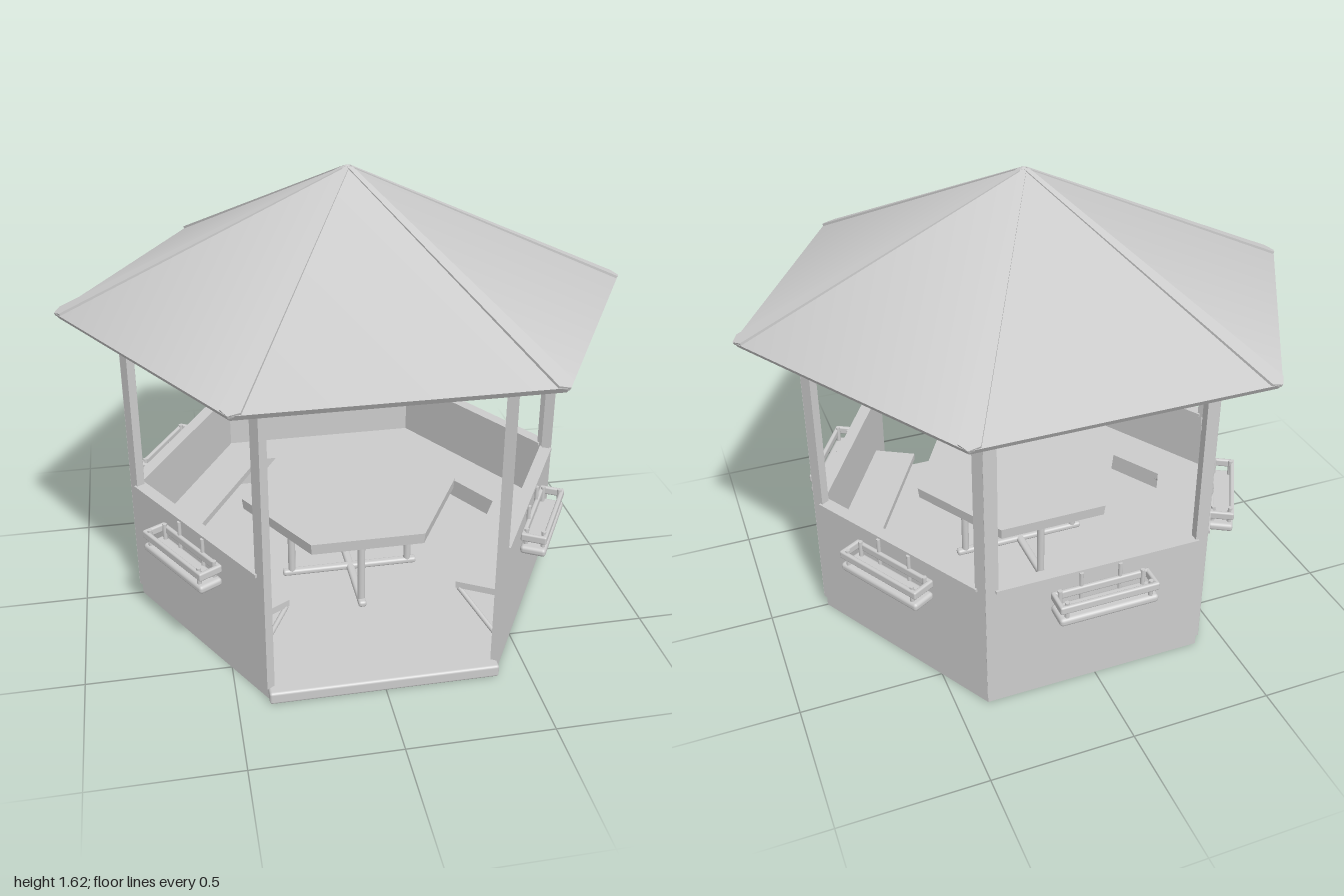
import * as THREE from 'three';
import { RoundedBoxGeometry } from 'three/addons/geometries/RoundedBoxGeometry.js';

const flat = new THREE.MeshStandardMaterial({ color: 0xcccccc, flatShading: true, side: THREE.DoubleSide });
const smooth = new THREE.MeshStandardMaterial({ color: 0xcccccc });

function add(parent, name, geometry, material = flat, x = 0, y = 0, z = 0) {
  const mesh = new THREE.Mesh(geometry, material);
  mesh.name = name;
  mesh.position.set(x, y, z);
  parent.add(mesh);
  return mesh;
}
const rounded = (p, name, w, h, d, x, y, z, r = 0.4) =>
  add(p, name, new RoundedBoxGeometry(w, h, d, 2, Math.min(w, h, d) * r), smooth, x, y, z);

// Round bar between two points
function bar(p, name, a, b, r) {
  const from = new THREE.Vector3(...a), to = new THREE.Vector3(...b);
  const mesh = add(p, name, new THREE.CylinderGeometry(r, r, from.distanceTo(to), 12), smooth);
  mesh.position.copy(from).lerp(to, 0.5);
  mesh.quaternion.setFromUnitVectors(new THREE.Vector3(0, 1, 0), to.sub(from).normalize());
}

// Six-sided slab with corners on the x axis
const hexagon = (top, bottom, h, open = false) =>
  new THREE.CylinderGeometry(top, bottom, h, 6, 1, open).rotateY(Math.PI / 6);

// Flat outline lifted into a slab, depth running along +z
function slab(points, depth, hole) {
  const shape = new THREE.Shape(points.map(q => new THREE.Vector2(...q)));
  if (hole) shape.holes.push(new THREE.Path(hole.map(q => new THREE.Vector2(...q))));
  return new THREE.ExtrudeGeometry(shape, { depth, bevelEnabled: false });
}
const rect = (x0, y0, x1, y1) => [[x0, y0], [x1, y0], [x1, y1], [x0, y1]];

// Open flower box hanging on the outside of a wall
function makePlanter() {
  const g = new THREE.Group();
  g.name = 'planter';
  rounded(g, 'planterTray', 0.355, 0.03, 0.09, 0, 0.36, 0.742);
  for (const z of [0.705, 0.779]) rounded(g, 'planterLongRail', 0.355, 0.03, 0.016, 0, 0.412, z);
  for (const s of [-1, 1]) {
    rounded(g, 'planterEndRail', 0.016, 0.03, 0.09, s * 0.1695, 0.412, 0.742);
    for (const z of [0.712, 0.772]) bar(g, 'planterPost', [s * 0.15, 0.36, z], [s * 0.15, 0.435, z], 0.008);
    bar(g, 'planterHanger', [s * 0.07, 0.36, 0.702], [s * 0.07, 0.478, 0.702], 0.007);
  }
  return g;
}

// Wall bay with window, sill, planter and bench; local +z points outward
function makeBay(k) {
  const g = new THREE.Group();
  g.name = 'wallBay';
  // The wall runs up to the sloping underside of the roof
  add(g, 'wall', slab(rect(-0.4, 0.045, 0.4, 1.228), 0.03, rect(-0.355, 0.48, 0.355, 1.04)), flat, 0, 0, 0.662);
  add(g, 'windowSill', new THREE.BoxGeometry(0.73, 0.012, 0.045), flat, 0, 0.48, 0.677);
  g.add(makePlanter());

  // Seat is mitred between bays and cut square beside the entrance
  const inner = 0.5, outer = 0.67, m = Math.tan(Math.PI / 6);
  const end = (isFront, n) => (isFront ? 0.28 : n * m);
  const left = k === 1, right = k === 5;
  const seat = slab([
    [-end(left, inner), -inner], [end(right, inner), -inner],
    [end(right, outer), -outer], [-end(left, outer), -outer],
  ], 0.025).rotateX(-Math.PI / 2);
  add(g, 'benchSeat', seat, flat, 0, 0.225, 0);
  for (const s of [-1, 1]) {
    bar(g, 'benchBrace', [s * 0.275, 0.055, 0.655], [s * 0.275, 0.226, 0.51], 0.009);
  }
  g.rotation.y = k * Math.PI / 3;
  return g;
}

function makeTable() {
  const g = new THREE.Group();
  g.name = 'table';
  add(g, 'tableTop', hexagon(0.405, 0.4, 0.042), flat, 0, 0.379, 0);
  // Crossed feet with an upright near each end
  for (let i = 0; i < 2; i++) {
    const frame = new THREE.Group();
    frame.name = 'tableFrame';
    rounded(frame, 'tableFoot', 0.52, 0.024, 0.03, 0, 0.057, 0);
    for (const s of [-1, 1]) bar(frame, 'tableLeg', [s * 0.225, 0.05, 0], [s * 0.225, 0.365, 0], 0.014);
    frame.rotation.y = i * Math.PI / 2;
    g.add(frame);
  }
  g.position.z = 0.05;
  return g;
}

function makeRoof() {
  const g = new THREE.Group();
  g.name = 'roof';
  // Thin hollow shell: outer slope, eave edge and sloping underside
  add(g, 'roofSlope', hexagon(0, 1, 0.458, true), smooth, 0, 1.389, 0);
  add(g, 'eaveEdge', hexagon(1, 0.985, 0.02, true), flat, 0, 1.15, 0);
  add(g, 'roofUnderside', hexagon(0, 0.985, 0.452, true), flat, 0, 1.366, 0);
  // Hip caps, pointed at the eave corner and narrowing towards the peak
  const length = Math.hypot(1, 0.458), slope = Math.atan(0.458);
  const cap = slab([[0.01, -0.01], [length - 0.02, -0.033], [length, 0], [length - 0.02, 0.033], [0.01, 0.01]], 0.012)
    .rotateX(-Math.PI / 2).translate(0, -0.011, 0).rotateZ(-slope).translate(0, 1.618, 0);
  for (let i = 0; i < 6; i++) add(g, 'hipCap', cap).rotation.y = i * Math.PI / 3;
  return g;
}

export function createModel() {
  const model = new THREE.Group();
  model.name = 'gazebo';

  // Floor with a threshold across the open front bay
  add(model, 'floor', hexagon(0.79, 0.79, 0.045), flat, 0, 0.0225, 0);
  rounded(model, 'threshold', 0.79, 0.045, 0.05, 0, 0.0225, 0.694, 0.2);

  for (let k = 1; k <= 5; k++) model.add(makeBay(k));
  model.add(makeTable());
  model.add(makeRoof());
  return model;
}
